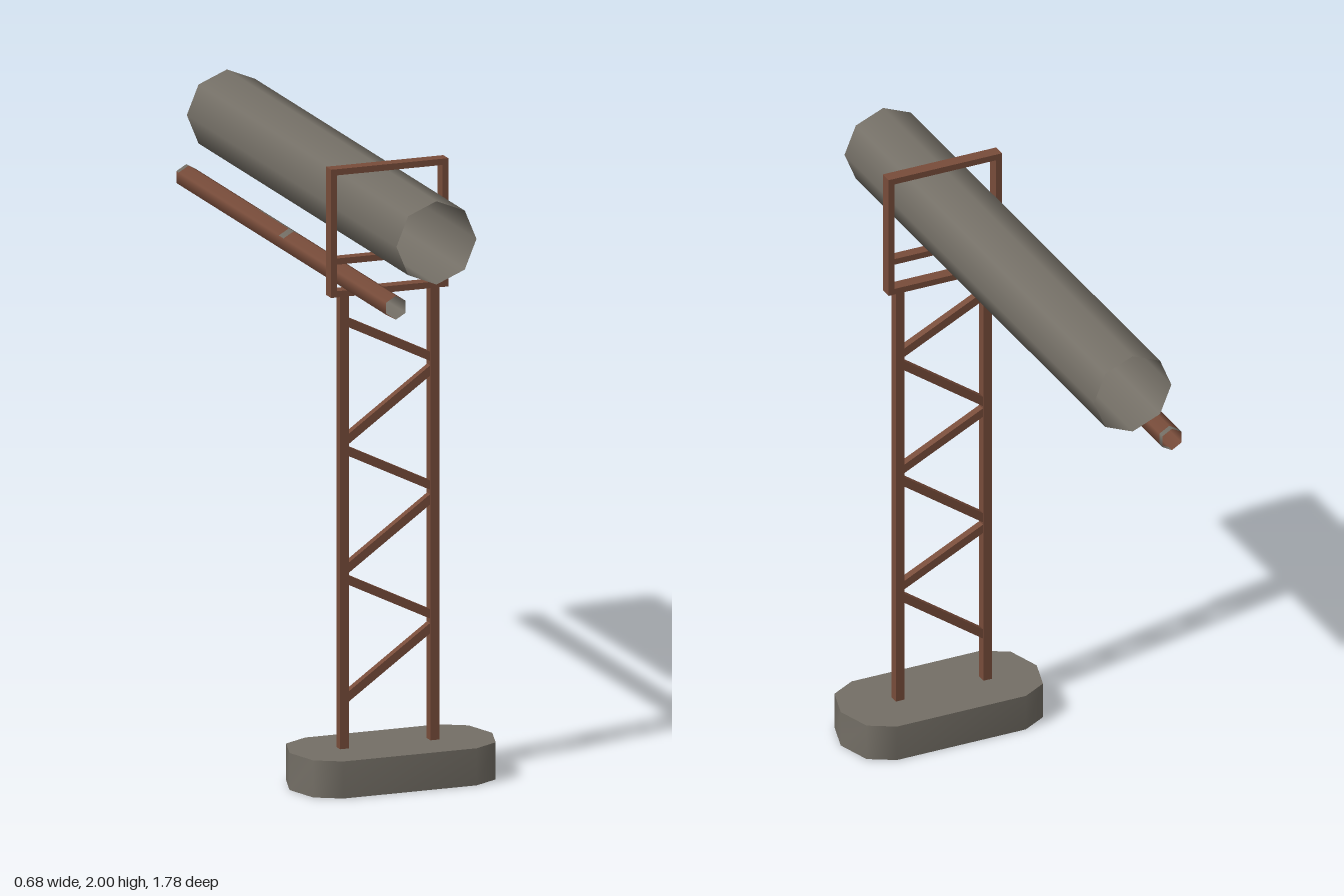
import * as THREE from 'three';

const mat = (name, color, side = THREE.FrontSide) => {
  const m = new THREE.MeshStandardMaterial({ color, side });
  m.name = name;
  return m;
};

const FRAME_Z = 0.453;

export function createModel() {
  const model = new THREE.Group();
  model.name = 'pipeSupport';
  const grey = mat('weatheredGrey', 0x746f66, THREE.DoubleSide);
  const rust = mat('rustBrown', 0x784c3a, THREE.DoubleSide);

  const add = (name, geometry, material, parent = model) => {
    const mesh = new THREE.Mesh(geometry, material);
    mesh.name = name;
    parent.add(mesh);
    return mesh;
  };

  // Bar between two points in the plane of the trestle
  const bar = (name, [x0, y0], [x1, y1], width, depth, parent) => {
    const dx = x1 - x0, dy = y1 - y0;
    const mesh = add(name, new THREE.BoxGeometry(Math.hypot(dx, dy), width, depth), rust, parent);
    mesh.position.set((x0 + x1) / 2, (y0 + y1) / 2, FRAME_Z);
    mesh.rotation.z = Math.atan2(dy, dx);
    return mesh;
  };

  // Footing: stadium outline, hollow underneath
  const outline = [];
  for (const s of [1, -1]) {
    for (let i = 0; i <= 4; i++) {
      const a = -Math.PI / 2 + (i * Math.PI) / 4;
      outline.push(new THREE.Vector2(s * (0.225 + 0.117 * Math.cos(a)), s * 0.162 * Math.sin(a)));
    }
  }
  const footing = new THREE.Group();
  footing.name = 'footing';
  footing.position.z = FRAME_Z;
  model.add(footing);
  const top = add('footingTop', new THREE.ShapeGeometry(new THREE.Shape(outline)), grey, footing);
  top.rotation.x = -Math.PI / 2;
  top.position.y = 0.12;

  const n = outline.length, positions = [], index = [];
  outline.forEach((p, i) => {
    positions.push(p.x, 0, -p.y, p.x, 0.12, -p.y);
    const a = 2 * i, b = 2 * ((i + 1) % n);
    index.push(a, b, b + 1, a, b + 1, a + 1);
  });
  const wall = new THREE.BufferGeometry();
  wall.setAttribute('position', new THREE.Float32BufferAttribute(positions, 3));
  wall.setIndex(index);
  wall.computeVertexNormals();
  add('footingWall', wall, grey, footing);

  // Trestle: two posts with zigzag bracing
  const trestle = new THREE.Group();
  trestle.name = 'trestle';
  model.add(trestle);
  const L = -0.163, R = 0.142;
  bar('rightPost', [L, 0.11], [L, 1.59], 0.03, 0.032, trestle);
  bar('leftPost', [R, 0.11], [R, 1.59], 0.03, 0.032, trestle);
  for (let i = 0; i < 3; i++) {
    const y = 1.505 - i * 0.417;
    bar('fallingBrace', [L, y], [R, y - 0.15], 0.027, 0.026, trestle);
    bar('risingBrace', [L, y - 0.395], [R, y - 0.178], 0.027, 0.026, trestle);
  }

  // Rectangular cradle around the pipes
  const cradle = new THREE.Group();
  cradle.name = 'cradle';
  model.add(cradle);
  for (const y of [1.595, 1.99]) bar('cradleRail', [-0.21, y], [0.185, y], 0.02, 0.042, cradle);
  for (const x of [-0.2, 0.175]) bar('cradleSide', [x, 1.605], [x, 1.98], 0.02, 0.042, cradle);
  bar('pipeRest', [-0.19, 1.7], [0.165, 1.7], 0.02, 0.036, cradle);

  // Large open pipe
  const large = add('largePipe', new THREE.CylinderGeometry(0.135, 0.135, 1.78, 8, 1, true), grey);
  large.rotation.x = Math.PI / 2;
  large.position.set(-0.02, 1.845, 0);

  // Small open pipe in lengths: [front z, back z, sides that are bare grey]
  const small = new THREE.Group();
  small.name = 'smallPipe';
  small.position.set(-0.157, 1.648, 0);
  model.add(small);
  const lengths = [
    [0.89, 0.57, [0, 1]],
    [0.57, 0.02, []],
    [0.02, -0.02, [0, 1, 2, 3]],
    [-0.02, -0.32, [0, 1, 2]],
    [-0.32, -0.87, []],
    [-0.87, -0.89, [0, 1, 2, 3]],
  ];
  for (const [z0, z1, bare] of lengths) {
    const g = new THREE.CylinderGeometry(0.0385, 0.0385, z0 - z1, 6, 1, true);
    g.clearGroups();
    for (let i = 0; i < 6; i++) g.addGroup(i * 6, 6, bare.includes(i) ? 1 : 0);
    const piece = add('smallPipeLength', g, [rust, grey], small);
    piece.rotation.x = Math.PI / 2;
    piece.position.z = (z0 + z1) / 2;
  }

  return model;
}
